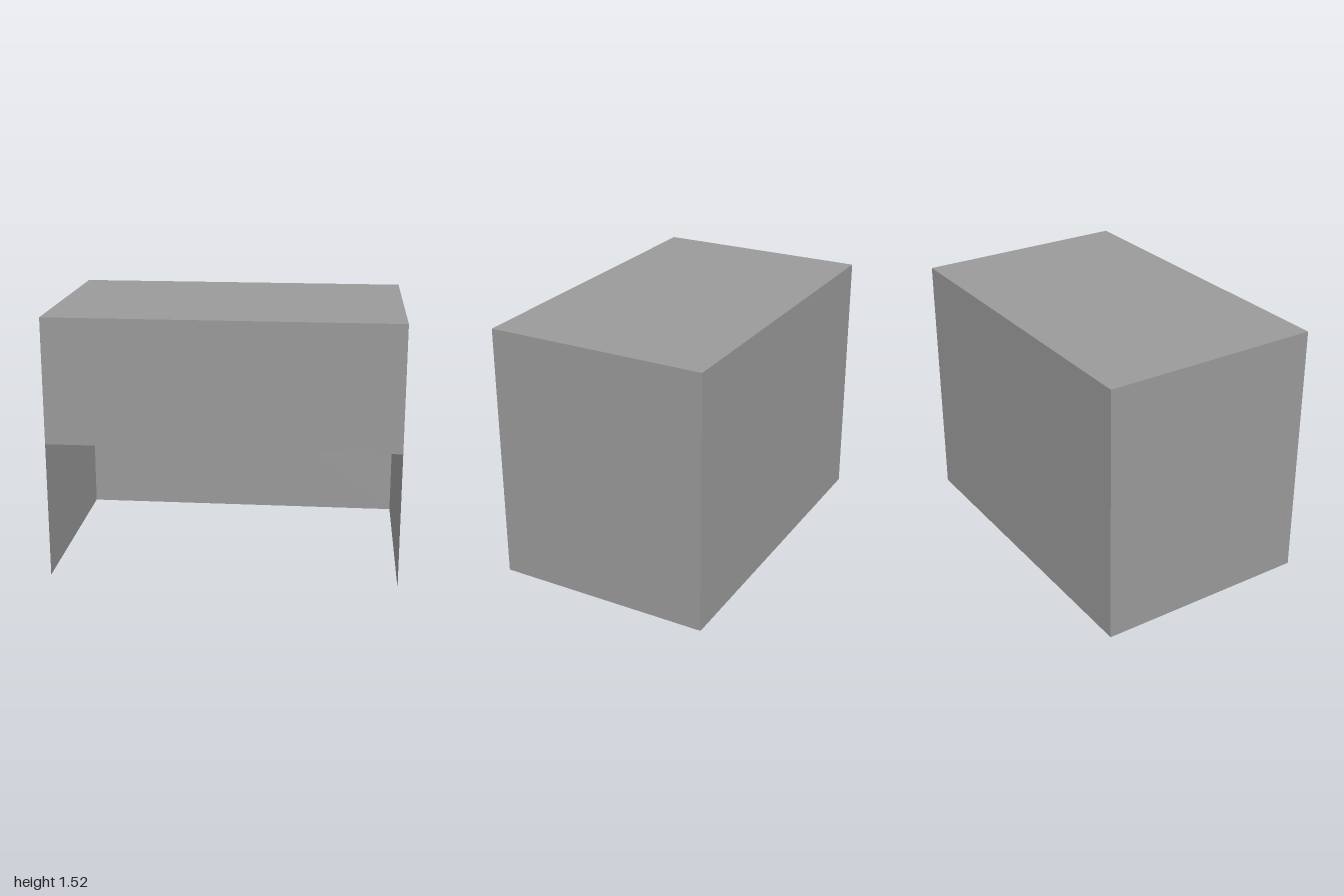
import * as THREE from 'three';

const W = 2, H = 1.52, D = 1.28;  // overall width, height, depth
const FRONT_BOTTOM = 0.795;       // lower edge of the front panel

export function createModel() {
  const desk = new THREE.Group();
  desk.name = 'desk';
  const material = new THREE.MeshStandardMaterial({
    color: 0x9a9a9a, flatShading: true, side: THREE.DoubleSide,
  });

  // A thin sheet facing +z, turned and moved into place
  function panel(name, width, height, position, rotX = 0, rotY = 0) {
    const mesh = new THREE.Mesh(new THREE.PlaneGeometry(width, height), material);
    mesh.name = name;
    mesh.position.set(...position);
    mesh.rotation.set(rotX, rotY, 0);
    desk.add(mesh);
  }

  // Top
  panel('top', W, D, [0, H, 0], -Math.PI / 2);

  // Full-height sides
  for (const [name, s] of [['leftSide', 1], ['rightSide', -1]]) {
    panel(name, D, H, [s * W / 2, H / 2, 0], 0, s * Math.PI / 2);
  }

  // Full-height back, and a front that leaves the knee space open
  panel('back', W, H, [0, H / 2, -D / 2], 0, Math.PI);
  panel('frontPanel', W, H - FRONT_BOTTOM, [0, (H + FRONT_BOTTOM) / 2, D / 2]);

  return desk;
}
